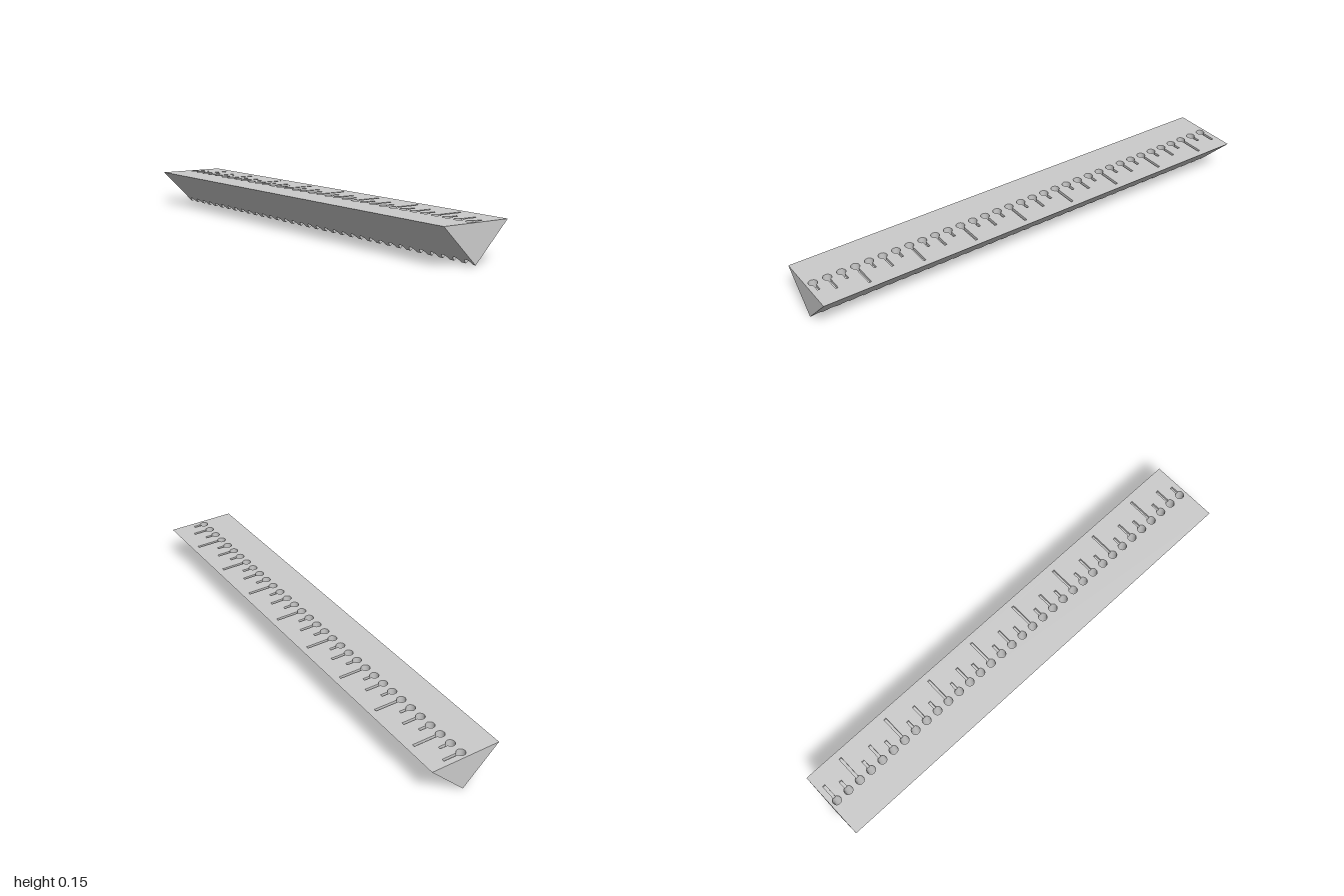
import * as THREE from 'three';
import { mergeGeometries } from 'three/addons/utils/BufferGeometryUtils.js';

const HALF = 0.15, TOP = 0.15, COUNT = 34;
const R = 0.018, SEG = 20, STEP = (Math.PI * 2) / SEG;
const SLOT_HALF = R * Math.sin(STEP), SLOT_Y = TOP - 0.012;

// Hole centres run from back to front; slot lengths repeat medium, short, long, short
const marks = Array.from({ length: COUNT }, (_, i) => ({
  z: (i - (COUNT - 1) / 2) / (COUNT / 2),
  end: [0.08, 0.05, 0.12, 0.05][i % 4],
}));

// Plan points are (x, -z). Arc of a hole between two step numbers
function arc(z, from, to) {
  const points = [];
  for (let k = from; k <= to; k++) {
    points.push(new THREE.Vector2(R * Math.cos(k * STEP), -z + R * Math.sin(k * STEP)));
  }
  return points;
}

// Upright wall along a counter-clockwise plan path, facing inwards
function wall(points, topY, bottomY) {
  const position = [], index = [];
  points.forEach((p, k) => {
    position.push(p.x, topY, -p.y, p.x, bottomY(p.x), -p.y);
    if (k) {
      const a = 2 * (k - 1), b = 2 * k;
      index.push(a, b, a + 1, b, b + 1, a + 1);
    }
  });
  const g = new THREE.BufferGeometry();
  g.setAttribute('position', new THREE.Float32BufferAttribute(position, 3));
  g.setIndex(index);
  g.computeVertexNormals();
  return g;
}

// Flat plan shape laid at height y, facing up
function plate(shape, y) {
  const g = new THREE.ShapeGeometry(shape);
  g.deleteAttribute('uv');
  return g.rotateX(-Math.PI / 2).translate(0, y, 0);
}

// Sloping side, notched where the holes break through the bottom ridge
function slopeGeometry(side) {
  const points = [new THREE.Vector2(0, -1)];
  for (const { z } of marks) {
    for (let k = 0; k <= SEG / 2; k++) {
      points.push(new THREE.Vector2(side * R * Math.sin(k * STEP), z - R * Math.cos(k * STEP)));
    }
  }
  points.push(new THREE.Vector2(0, 1), new THREE.Vector2(side * HALF, 1), new THREE.Vector2(side * HALF, -1));
  const g = new THREE.ShapeGeometry(new THREE.Shape(points)).rotateX(Math.PI / 2);
  const p = g.attributes.position;
  for (let i = 0; i < p.count; i++) p.setY(i, Math.abs(p.getX(i)));
  g.computeVertexNormals();
  return g;
}

export function createModel() {
  const group = new THREE.Group();
  const material = new THREE.MeshStandardMaterial({ color: 0xcccccc, side: THREE.DoubleSide });
  const add = (name, geometry) => {
    const mesh = new THREE.Mesh(geometry, material);
    mesh.name = name;
    group.add(mesh);
  };

  // Top face with keyhole openings, plus the hole walls and slot recesses
  const top = new THREE.Shape([[-HALF, -1], [HALF, -1], [HALF, 1], [-HALF, 1]].map(c => new THREE.Vector2(...c)));
  const holes = [], slots = [];
  for (const { z, end } of marks) {
    const rim = arc(z, 1, SEG - 1), mouth = arc(z, -1, 1);
    const endA = new THREE.Vector2(end, -z - SLOT_HALF);
    const endB = new THREE.Vector2(end, -z + SLOT_HALF);
    top.holes.push(new THREE.Path([...rim, endA, endB]));
    holes.push(wall(rim, TOP, Math.abs), wall(mouth, SLOT_Y, Math.abs));
    for (const pair of [[mouth[0], endA], [endA, endB], [endB, mouth[2]]]) {
      slots.push(wall(pair, TOP, () => SLOT_Y));
    }
    slots.push(plate(new THREE.Shape([...mouth.slice().reverse(), endA, endB]), SLOT_Y));
  }
  add('topFace', plate(top, TOP));
  add('holeWalls', mergeGeometries(holes));
  add('markerSlots', mergeGeometries(slots));

  // Sloping sides
  add('leftSlope', slopeGeometry(1));
  add('rightSlope', slopeGeometry(-1));

  // Triangular ends
  const triangle = new THREE.Shape([[0, 0], [HALF, TOP], [-HALF, TOP]].map(c => new THREE.Vector2(...c)));
  add('frontEnd', new THREE.ShapeGeometry(triangle).translate(0, 0, 1));
  add('backEnd', new THREE.ShapeGeometry(triangle).translate(0, 0, 1).rotateY(Math.PI));
  return group;
}
